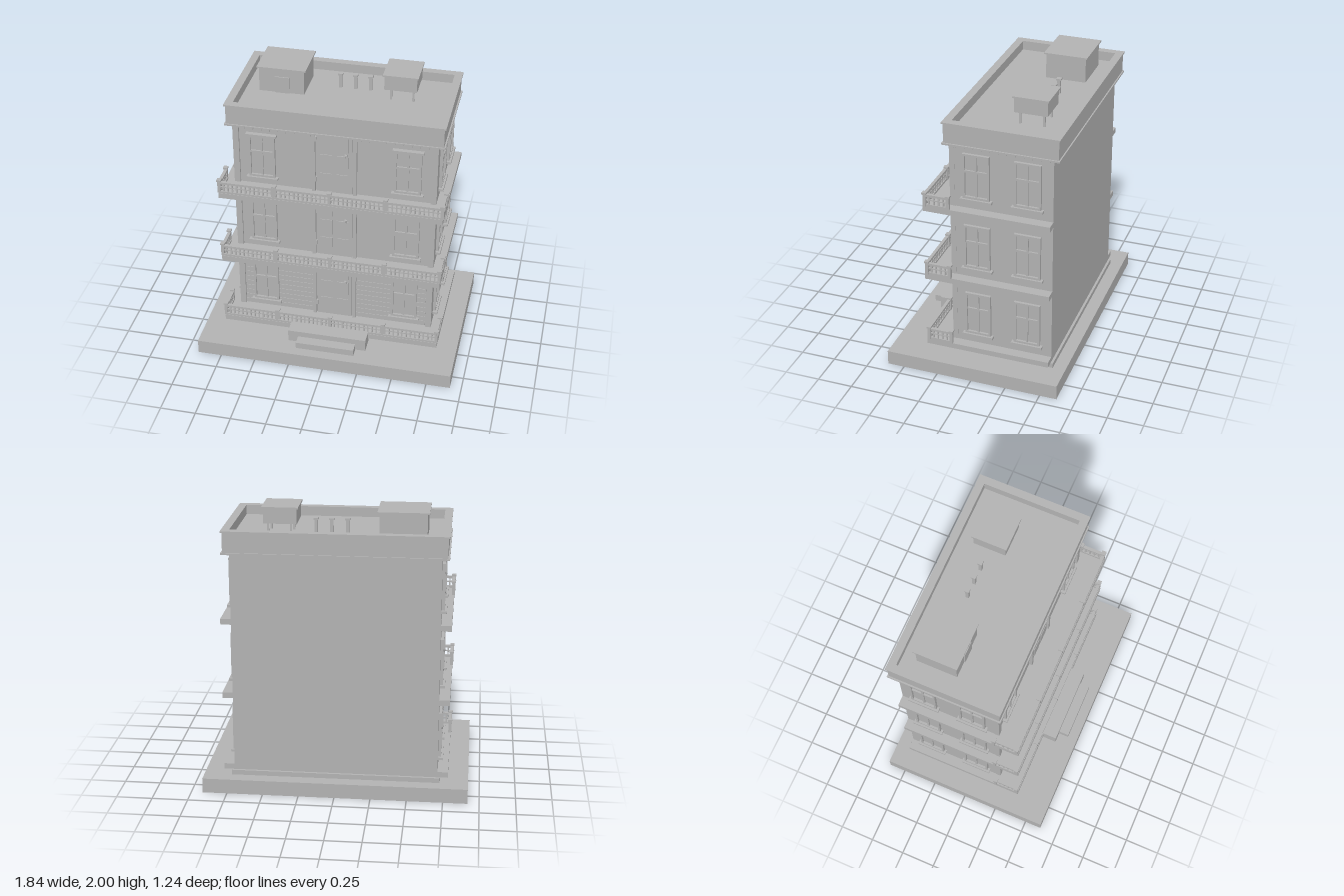
import * as THREE from 'three';

const stone = new THREE.MeshStandardMaterial({ color: 0xb2b2b2 });
stone.name = 'grey stone';

// Box given by its min and max on each axis
function box(parent, name, x0, x1, y0, y1, z0, z1) {
  const m = new THREE.Mesh(new THREE.BoxGeometry(x1 - x0, y1 - y0, z1 - z0), stone);
  m.position.set((x0 + x1) / 2, (y0 + y1) / 2, (z0 + z1) / 2);
  m.name = name;
  parent.add(m);
  return m;
}

function group(parent, name, x = 0, y = 0, z = 0, turn = 0) {
  const g = new THREE.Group();
  g.name = name;
  g.position.set(x, y, z);
  g.rotation.y = turn;
  parent.add(g);
  return g;
}

// Rectangular ring lying flat, such as a parapet
function ring(parent, name, x, z0, z1, wall, y0, y1) {
  const s = new THREE.Shape([[-x, -z0], [x, -z0], [x, -z1], [-x, -z1]].map(p => new THREE.Vector2(...p)));
  const a = x - wall, b = z0 + wall, c = z1 - wall;
  s.holes.push(new THREE.Path([[-a, -b], [-a, -c], [a, -c], [a, -b]].map(p => new THREE.Vector2(...p))));
  const geo = new THREE.ExtrudeGeometry(s, { depth: y1 - y0, bevelEnabled: false });
  geo.rotateX(-Math.PI / 2);
  const m = new THREE.Mesh(geo, stone);
  m.position.y = y0;
  m.name = name;
  parent.add(m);
}

// Window facing +z, standing on its sill at the local origin
function windowUnit(parent, name, x, y, z, turn, lintel) {
  const g = group(parent, name, x, y, z, turn);
  const w = 0.0925, h = 0.325, d = 0.02;
  box(g, 'glass', -w, w, 0, h, -0.01, 0.004);
  for (const s of [-1, 1]) box(g, 'jamb', s * 0.085 - 0.0075, s * 0.085 + 0.0075, 0, h, 0, d);
  box(g, 'headRail', -w, w, h - 0.015, h, 0, d);
  box(g, 'bottomRail', -w, w, 0, 0.015, 0, d);
  box(g, 'mullion', -0.007, 0.007, 0, h, 0, 0.015);
  box(g, 'transom', -w, w, 0.19, 0.205, 0, 0.016);
  box(g, 'sill', -0.11, 0.11, -0.018, 0, 0, 0.034);
  if (lintel) box(g, 'lintel', -0.107, 0.107, h, h + 0.015, 0, 0.032);
}

// Panelled door with frame, hinges and handle
function door(parent, y, z) {
  const g = group(parent, 'door', 0, y, z);
  for (const s of [-1, 1]) box(g, 'doorJamb', s * 0.145 - 0.012, s * 0.145 + 0.012, 0, 0.5, -0.01, 0.02);
  box(g, 'doorHead', -0.16, 0.16, 0.495, 0.51, -0.01, 0.026);
  box(g, 'doorLeaf', -0.125, 0.125, 0, 0.485, -0.01, 0.008);
  for (const x of [-0.058, 0.058])
    for (const [a, b] of [[0.03, 0.15], [0.18, 0.3], [0.33, 0.455]])
      box(g, 'doorPanel', x - 0.042, x + 0.042, a, b, 0.008, 0.013);
  for (const h of [0.08, 0.4]) box(g, 'hinge', -0.136, -0.122, h, h + 0.035, 0, 0.018);
  box(g, 'handlePlate', 0.072, 0.09, 0.295, 0.317, 0.008, 0.022);
  box(g, 'handleBar', 0.047, 0.08, 0.301, 0.311, 0.022, 0.03);
}

// Straight railing run along local x from 0 to length, bars between two rails
function railing(parent, x, y, z, turn, length) {
  const g = group(parent, 'railing', x, y, z, turn);
  box(g, 'bottomRail', 0, length, 0, 0.015, -0.009, 0.009);
  box(g, 'middleRail', 0, length, 0.042, 0.05, -0.005, 0.005);
  box(g, 'topRail', 0, length, 0.072, 0.088, -0.011, 0.011);
  const n = Math.round(length / 0.0312);
  for (let i = 1; i < n; i++) {
    const p = i * length / n;
    box(g, 'baluster', p - 0.005, p + 0.005, 0.01, 0.075, -0.005, 0.005);
  }
}

function post(parent, x, y, z) {
  box(parent, 'railPost', x - 0.011, x + 0.011, y, y + 0.095, z - 0.011, z + 0.011);
  box(parent, 'postCap', x - 0.016, x + 0.016, y + 0.09, y + 0.102, z - 0.016, z + 0.016);
}

export function createModel() {
  const model = new THREE.Group();
  model.name = 'apartmentBuilding';

  // Ground, plinth and entrance steps
  box(model, 'groundSlab', -0.92, 0.92, 0, 0.105, -0.62, 0.62);
  box(model, 'plinth', -0.725, 0.725, 0.105, 0.14, -0.53, 0.215);
  box(model, 'upperStep', -0.283, 0.283, 0.105, 0.195, 0.36, 0.475);
  box(model, 'lowerStep', -0.21, 0.21, 0.105, 0.153, 0.47, 0.548);

  // Main block
  box(model, 'body', -0.708, 0.708, 0.13, 1.8, -0.513, 0.19);

  // Three repeated storeys
  for (let i = 0; i < 3; i++) {
    const y = 0.14 + i * 0.5325;
    const f = group(model, 'storey' + (i + 1));
    box(f, 'floorSlab', -0.78, 0.78, y, y + 0.04, -0.513, 0.375);

    for (const s of [-1, 1]) {
      // Corner pilaster, with a cap on the lower two storeys
      const x = s * 0.689;
      box(f, 'cornerPilaster', x - 0.021, x + 0.021, y + 0.04, y + 0.5325, 0.17, 0.205);
      if (i < 2) box(f, 'pilasterCap', x - 0.027, x + 0.027, y + 0.495, y + 0.508, 0.17, 0.211);

      // Windows
      windowUnit(f, 'frontWindow', s * 0.508, y + 0.105, 0.19, 0, true);
      for (const z of [0.015, -0.34])
        windowUnit(f, 'sideWindow', s * 0.708, y + 0.175 - 0.055, z, s * Math.PI / 2, false);

      // Side railing
      railing(f, s * 0.772, y + 0.04, 0.363, Math.PI / 2, 0.168);
      post(f, s * 0.775, y + 0.04, 0.195);
    }
    if (i < 2) box(f, 'stringCourse', -0.665, 0.665, y + 0.498, y + 0.515, 0.18, 0.199);

    // Weatherboards on the ground storey
    if (i === 0)
      for (let k = 0; k < 11; k++)
        for (const s of [-1, 1])
          box(f, 'weatherboard', s * 0.41 - 0.255, s * 0.41 + 0.255,
            y + 0.045 + k * 0.041, y + 0.08 + k * 0.041, 0.185, 0.194);

    door(f, y + 0.04, 0.192);
    railing(f, -0.775, y + 0.04, 0.363, 0, 1.55);
    for (let k = -2; k <= 2; k++) post(f, k * 0.3875, y + 0.04, 0.36);
  }

  // Dentils under the cornice
  for (let k = -11; k <= 11; k++) {
    const x = k * 0.0575;
    if (Math.abs(x) > 0.165) box(model, 'dentil', x - 0.014, x + 0.014, 1.685, 1.715, 0.185, 0.218);
  }
  for (const s of [-1, 1])
    for (let k = 0; k < 12; k++) {
      const z = 0.165 - k * 0.0585, x = s * 0.715;
      box(model, 'sideDentil', x - 0.014, x + 0.014, 1.685, 1.715, z - 0.014, z + 0.014);
    }

  // Cornice, parapet and coping
  box(model, 'cornice', -0.757, 0.757, 1.708, 1.72, -0.565, 0.238);
  ring(model, 'parapet', 0.746, -0.556, 0.229, 0.044, 1.72, 1.858);
  ring(model, 'coping', 0.757, -0.565, 0.238, 0.055, 1.856, 1.867);
  box(model, 'roofDeck', -0.71, 0.71, 1.77, 1.8, -0.52, 0.19);

  // Stair house on the roof
  const hut = group(model, 'stairHouse');
  box(hut, 'hutWalls', -0.603, -0.285, 1.8, 1.98, -0.415, -0.13);
  box(hut, 'hutRoof', -0.617, -0.271, 1.978, 1.988, -0.428, -0.117);
  box(hut, 'hutDoor', -0.49, -0.385, 1.8, 1.92, -0.13, -0.122);

  // Water tank on legs
  const tank = group(model, 'waterTank');
  box(tank, 'tankBody', 0.267, 0.493, 1.885, 1.99, -0.397, -0.167);
  box(tank, 'tankLid', 0.257, 0.503, 1.988, 2, -0.408, -0.156);
  for (const x of [0.31, 0.465])
    for (const z of [-0.365, -0.2])
      box(tank, 'tankLeg', x - 0.007, x + 0.007, 1.8, 1.89, z - 0.007, z + 0.007);

  // Vent pipes
  for (const x of [-0.063, 0.043, 0.149]) {
    box(model, 'ventPipe', x - 0.011, x + 0.011, 1.8, 1.9, -0.306, -0.284);
    box(model, 'ventCap', x - 0.017, x + 0.017, 1.897, 1.91, -0.312, -0.278);
  }
  return model;
}
